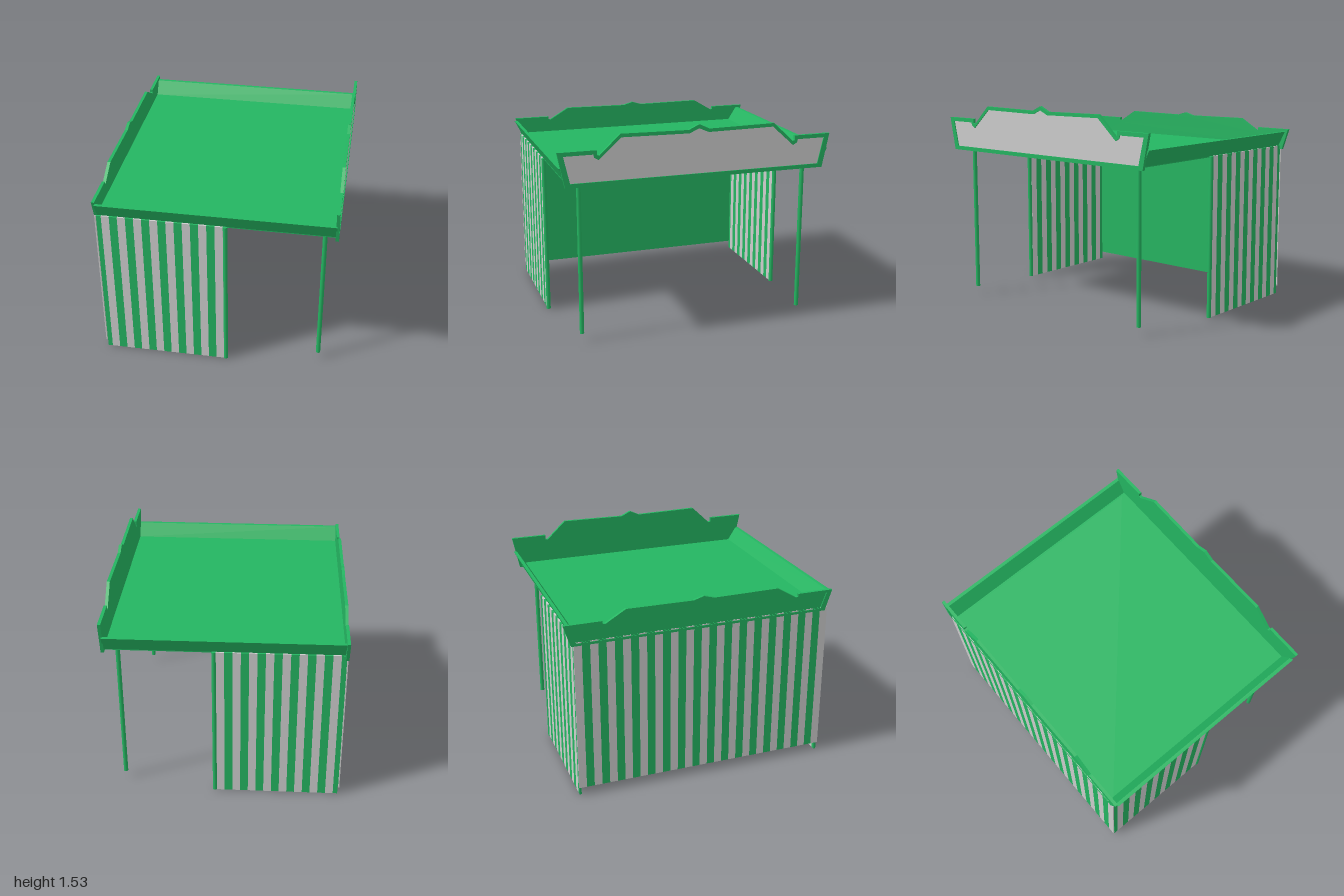
import * as THREE from 'three';

export function createModel() {
  const model = new THREE.Group();
  model.name = 'marketStall';
  const green = new THREE.MeshStandardMaterial({ name: 'green', color: 0x24b561 });
  const pale = new THREE.MeshStandardMaterial({ name: 'paleGrey', color: 0xcdcdcd });
  const cz = 0.008; // middle of the stall in z

  const add = (name, geometry, material, parent = model) => {
    const mesh = new THREE.Mesh(geometry, material);
    mesh.name = name;
    parent.add(mesh);
    return mesh;
  };
  // Box given by its limits
  const box = (name, [x0, x1], [y0, y1], [z0, z1], material, parent) => {
    const mesh = add(name, new THREE.BoxGeometry(x1 - x0, y1 - y0, z1 - z0), material, parent);
    mesh.position.set((x0 + x1) / 2, (y0 + y1) / 2, (z0 + z1) / 2);
    return mesh;
  };
  const post = (name, x, z, y0, y1) => {
    const mesh = add(name, new THREE.CylinderGeometry(0.016, 0.016, y1 - y0, 12), green);
    mesh.position.set(x, (y0 + y1) / 2, z);
  };

  // Roof slab
  box('roof', [-0.825, 0.825], [1.172, 1.19], [cz - 0.925, cz + 0.925], green);

  for (const side of [1, -1]) {
    const label = side > 0 ? 'front' : 'back';

    // Outward leaning fascia along the roof edge
    const profile = new THREE.Shape(
      [[0.88, 1.178], [0.925, 1.178], [0.982, 1.29], [0.957, 1.29], [0.893, 1.19], [0.88, 1.19]]
        .map(([z, y]) => new THREE.Vector2(-z, y)));
    const fascia = add(label + 'Fascia',
      new THREE.ExtrudeGeometry(profile, { depth: 1.65, bevelEnabled: false }), green);
    fascia.rotation.y = side * Math.PI / 2;
    fascia.position.set(-side * 0.825, 0, cz);

    // Striped side curtain, the same on both faces
    const curtain = new THREE.Group();
    curtain.name = label + 'Curtain';
    model.add(curtain);
    const z = cz + side * 0.93;
    const pitch = 0.0567, start = -0.795;
    box('curtainStripe', [-0.828, start], [0, 1.18], [z - 0.008, z + 0.008], green, curtain);
    for (let i = 0; i < 15; i++) {
      const x = start + i * pitch;
      box('curtainStripe', [x, x + pitch], [0, 1.18], [z - 0.008, z + 0.008],
        i % 2 ? green : pale, curtain);
    }

    // Posts
    post(label + 'CurtainPost', 0.07, z, 0, 1.18);
    post(label + 'RoofPost', 0.743, cz + side * 0.83, 0.065, 1.18);
  }

  // Rear wall, plain inside and striped outside
  box('rearWall', [-0.832, -0.824], [0.06, 1.18], [cz - 0.93, cz + 0.93], green);
  const count = 33, width = 1.884 / count;
  for (let i = 0; i < count; i++) {
    const z = cz - 0.942 + i * width;
    box('rearStripe', [-0.84, -0.832], [0.06, 1.18], [z, z + width], i % 2 ? green : pale);
  }

  // Sign boards with a stepped crest, y measured from the lower edge
  const outline = half => half.concat(
    half.slice(0, -1).reverse().map(([x, y]) => [-x, y])).map(([x, y]) => new THREE.Vector2(x, y));
  const outer = outline([[0.94, 0], [0.99, 0.245], [0.72, 0.245], [0.72, 0.212], [0.703, 0.207],
    [0.557, 0.345], [0.075, 0.338], [0, 0.373]]);
  const inner = outline([[0.905, 0.028], [0.948, 0.217], [0.743, 0.217], [0.738, 0.195],
    [0.708, 0.178], [0.55, 0.32], [0.07, 0.314], [0, 0.345]]);

  const sign = (name, panelMaterial) => {
    const group = new THREE.Group();
    group.name = name;
    const frameShape = new THREE.Shape(outer);
    frameShape.holes.push(new THREE.Path(inner));
    add('signFrame', new THREE.ExtrudeGeometry(frameShape, { depth: 0.022, bevelEnabled: false }),
      green, group);
    add('signBoard', new THREE.ExtrudeGeometry(new THREE.Shape(inner),
      { depth: 0.01, bevelEnabled: false }), green, group);
    const panel = add('signPanel', new THREE.ExtrudeGeometry(new THREE.Shape(inner),
      { depth: 0.005, bevelEnabled: false }), panelMaterial, group);
    panel.position.z = 0.0101;
    model.add(group);
    return group;
  };
  const tall = sign('tallSign', pale);
  tall.rotation.y = Math.PI / 2;
  tall.position.set(0.818, 1.155, 0.01);
  const low = sign('lowSign', green);
  low.rotation.y = -Math.PI / 2;
  low.scale.y = 0.63;
  low.position.set(-0.822, 1.155, -0.01);

  return model;
}
